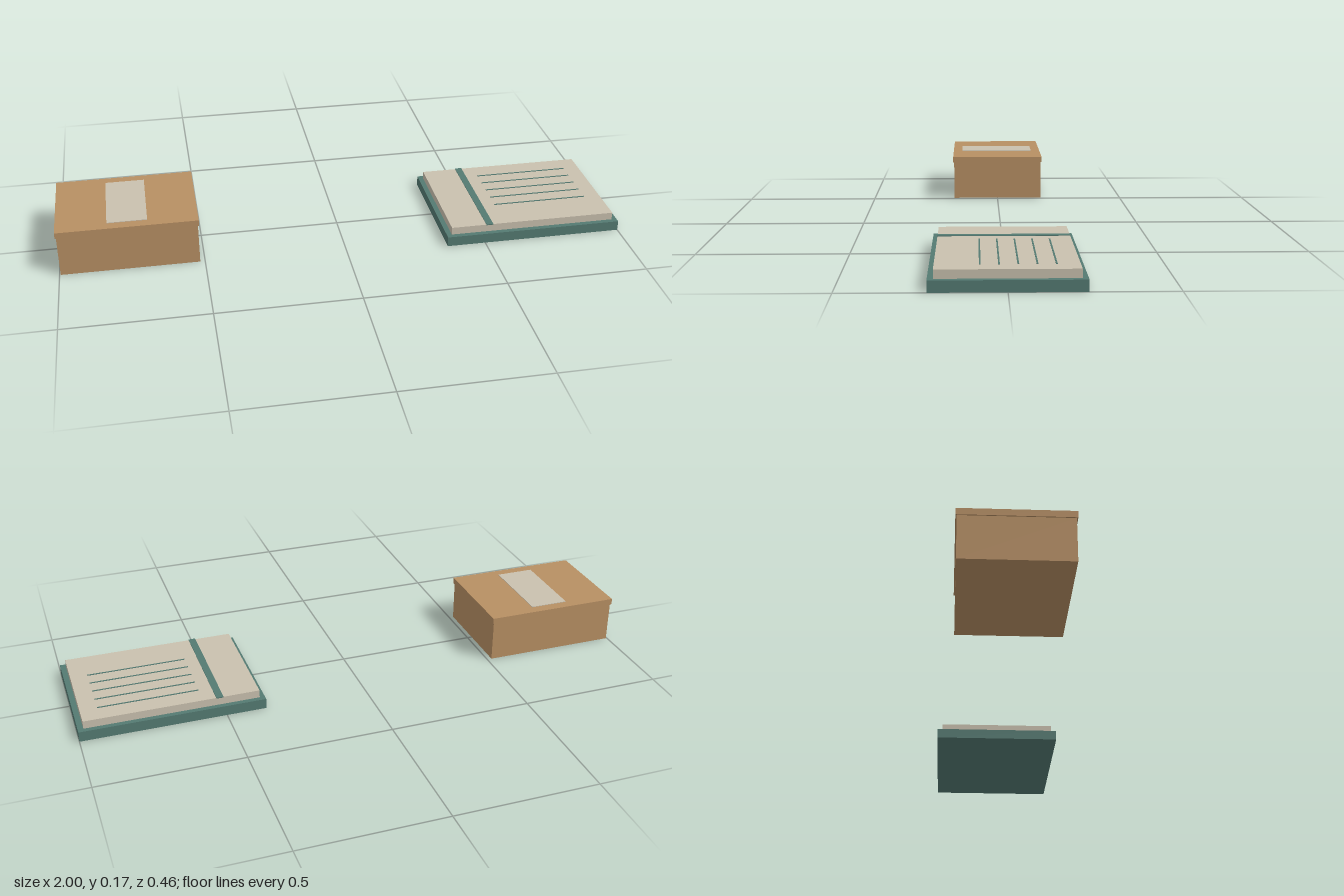
import * as THREE from 'three';

const material = (name, color) => {
  const m = new THREE.MeshStandardMaterial({ color });
  m.name = name;
  return m;
};

// Box given by its extents on x, y and z
function block(parent, name, mat, [x0, x1], [y0, y1], [z0, z1]) {
  const mesh = new THREE.Mesh(new THREE.BoxGeometry(x1 - x0, y1 - y0, z1 - z0), mat);
  mesh.position.set((x0 + x1) / 2, (y0 + y1) / 2, (z0 + z1) / 2);
  mesh.name = name;
  parent.add(mesh);
}

export function createModel() {
  const cardboard = material('cardboard', 0xb78f63);
  const teal = material('teal cover', 0x547a72);
  const paper = material('paper', 0xc9c0ae);

  const model = new THREE.Group();
  model.name = 'boxAndNotebook';

  // Cardboard box with overhanging lid and a paper label
  const carton = new THREE.Group();
  carton.name = 'cardboardBox';
  block(carton, 'boxBody', cardboard, [-0.996, -0.517], [0, 0.147], [-0.176, 0.176]);
  block(carton, 'boxLid', cardboard, [-1, -0.513], [0.147, 0.169], [-0.18, 0.18]);
  block(carton, 'boxLabel', paper, [-0.825, -0.687], [0.168, 0.171], [-0.144, 0.144]);

  // Notebook: cover, page block, ribbon band and ruled lines
  const notebook = new THREE.Group();
  notebook.name = 'notebook';
  block(notebook, 'cover', teal, [0.361, 1], [0, 0.036], [-0.232, 0.232]);
  block(notebook, 'pages', paper, [0.379, 0.981], [0.036, 0.0635], [-0.214, 0.214]);
  block(notebook, 'ribbon', teal, [0.506, 0.531], [0.062, 0.0655], [-0.216, 0.216]);
  for (let i = 0; i < 5; i++) {
    const z = -0.144 + i * 0.056;
    block(notebook, 'ruledLine', teal, [0.576, 0.922], [0.063, 0.065], [z - 0.0025, z + 0.0025]);
  }

  model.add(carton, notebook);
  return model;
}
